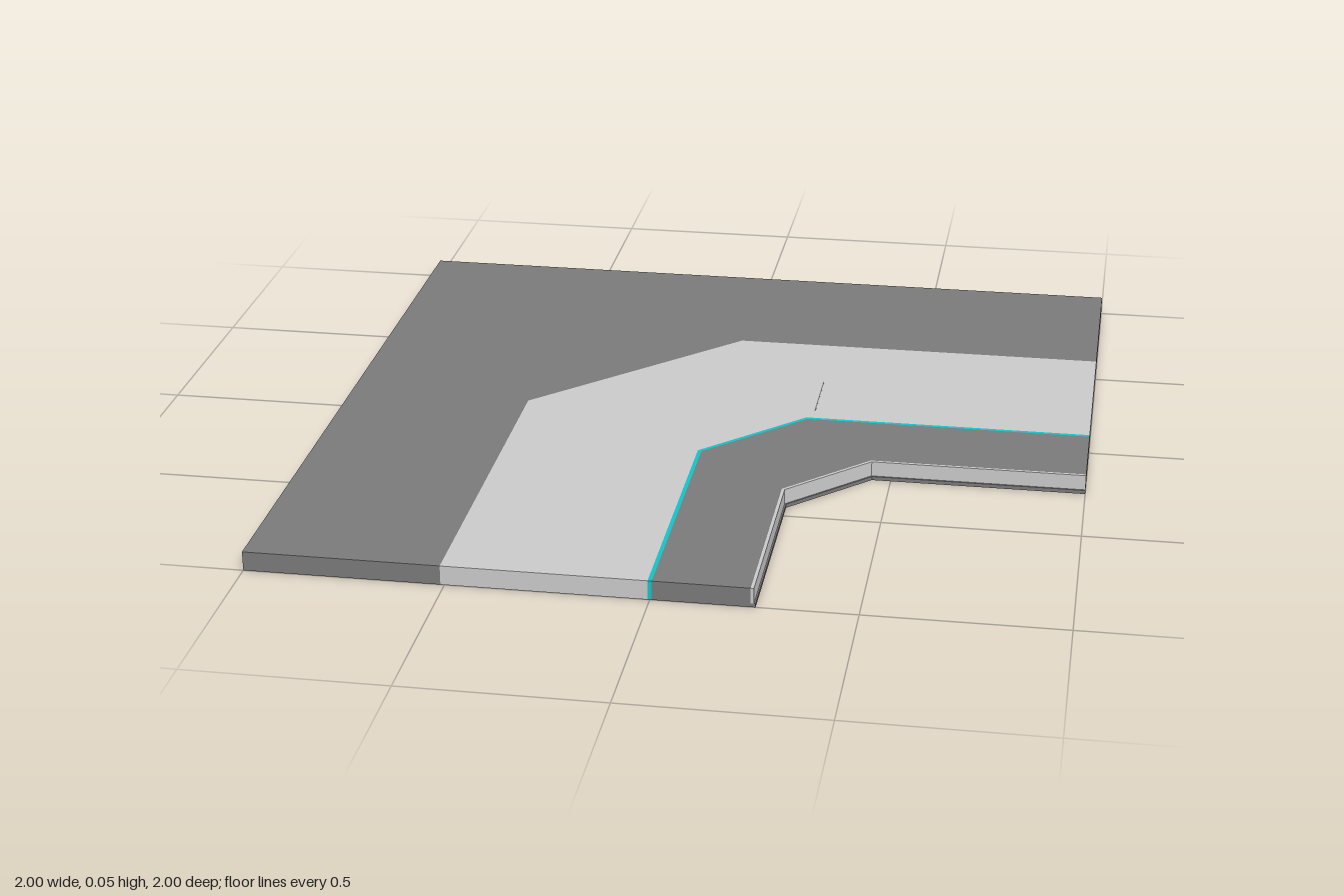
import * as THREE from 'three';

const HEIGHT = 0.05;

const mat = (name, color) => {
  const m = new THREE.MeshStandardMaterial({ color });
  m.name = name;
  return m;
};

// Chamfered bend: along x = a, across the diagonal, along z = a; shifted outward by w
function bend(a, c, w = 0) {
  const p = a + w, q = c + w * (Math.SQRT2 - 1);
  return [[p, 1], [p, q], [q, p], [1, p]];
}

// Upright slab between two boundary lines given as [x, z] points
function band(name, outer, inner, y0, y1, material) {
  const points = [...outer, ...[...inner].reverse()];
  const shape = new THREE.Shape(points.map(([x, z]) => new THREE.Vector2(x, -z)));
  const geo = new THREE.ExtrudeGeometry(shape, { depth: y1 - y0, bevelEnabled: false });
  geo.rotateX(-Math.PI / 2);
  geo.translate(0, y0, 0);
  const mesh = new THREE.Mesh(geo, material);
  mesh.name = name;
  return mesh;
}

export function createModel() {
  const dark = mat('darkGrey', 0x7a7a7a);
  const light = mat('lightGrey', 0xcacaca);
  const cyan = mat('cyan', 0x10c4c8);

  const group = new THREE.Group();
  group.name = 'cornerFloorTile';

  const square = [[-1, 1], [-1, -1], [1, -1]];
  const pathEdge = bend(-0.51, 0);
  const stripeOuter = bend(0, 0.25, -0.005);
  const stripeInner = bend(0, 0.25, 0.005);
  const trimOuter = bend(0.25, 0.45, -0.008);
  const trimInner = bend(0.25, 0.45);
  const lipInner = bend(0.25, 0.45, 0.004);

  group.add(
    band('outerFloor', square, pathEdge, 0, HEIGHT, dark),
    band('walkway', pathEdge, stripeOuter, 0, HEIGHT, light),
    band('guideStripe', stripeOuter, stripeInner, 0, HEIGHT, cyan),
    band('innerFloor', stripeInner, trimOuter, 0, HEIGHT, dark),
    band('edgeTrim', trimOuter, trimInner, 0.01, HEIGHT, light),
    band('edgeLip', trimOuter, lipInner, 0, 0.01, dark)
  );

  // Hairline seam in the walkway
  const seam = new THREE.Mesh(new THREE.BoxGeometry(0.003, 0.001, 0.2), dark);
  seam.name = 'walkwaySeam';
  seam.position.set(0.265, HEIGHT, -0.15);
  group.add(seam);

  return group;
}
